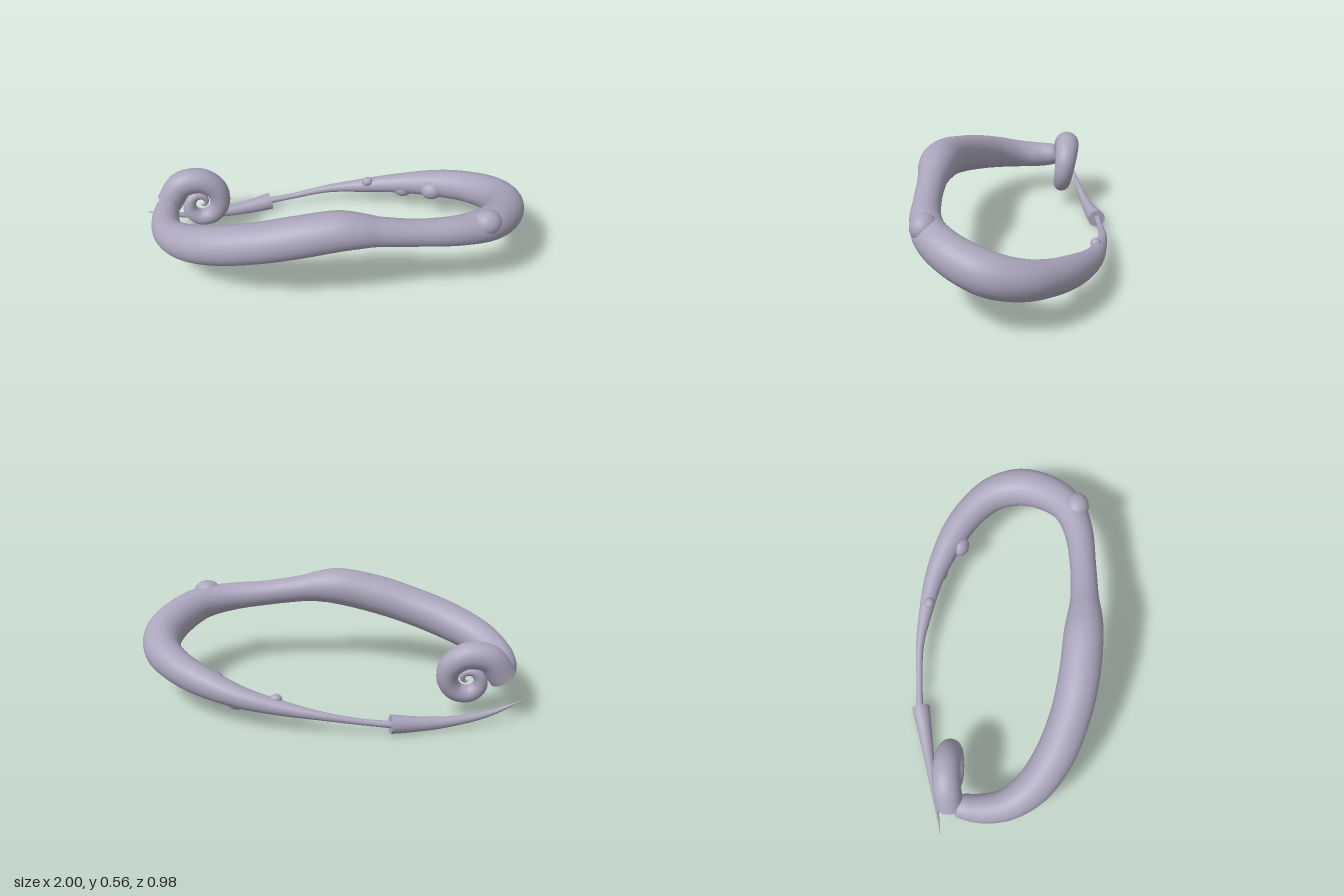
import * as THREE from 'three';

// Sweep a round section along rows of [x, y, z, radius], with closed ends.
function sweep(rows, steps, sides) {
  const path = new THREE.CatmullRomCurve3(rows.map(r => new THREE.Vector3(r[0], r[1], r[2])));
  const size = new THREE.SplineCurve(rows.map((r, i) => new THREE.Vector2(i, r[3])));
  const pos = [], index = [];
  const side = new THREE.Vector3(0.13, 1, 0.21), up = new THREE.Vector3();
  for (let i = 0; i <= steps; i++) {
    const t = i / steps;
    const c = path.getPoint(t), dir = path.getTangent(t), rad = Math.max(size.getPoint(t).y, 0.001);
    side.addScaledVector(dir, -side.dot(dir)).normalize();
    up.crossVectors(dir, side);
    for (let j = 0; j <= sides; j++) {
      const a = j / sides * Math.PI * 2;
      const p = c.clone().addScaledVector(side, Math.cos(a) * rad).addScaledVector(up, Math.sin(a) * rad);
      pos.push(p.x, p.y, p.z);
    }
  }
  const row = sides + 1;
  for (let i = 0; i < steps; i++) {
    for (let j = 0; j < sides; j++) {
      const a = i * row + j, b = a + row;
      index.push(a, a + 1, b, b, a + 1, b + 1);
    }
  }
  // flat caps with their own vertices
  for (const end of [0, 1]) {
    const first = end * steps * row, start = pos.length / 3, c = path.getPoint(end);
    for (let j = 0; j <= sides; j++) {
      const k = (first + j) * 3;
      pos.push(pos[k], pos[k + 1], pos[k + 2]);
    }
    pos.push(c.x, c.y, c.z);
    const mid = start + row;
    for (let j = 0; j < sides; j++) {
      if (end) index.push(mid, start + j, start + j + 1);
      else index.push(mid, start + j + 1, start + j);
    }
  }
  const g = new THREE.BufferGeometry();
  g.setAttribute('position', new THREE.Float32BufferAttribute(pos, 3));
  g.setIndex(index);
  g.computeVertexNormals();
  // even out the normals along the seam
  const n = g.attributes.normal;
  for (let i = 0; i <= steps; i++) {
    const a = i * row, b = a + sides;
    const v = new THREE.Vector3().fromBufferAttribute(n, a)
      .add(new THREE.Vector3().fromBufferAttribute(n, b)).normalize();
    n.setXYZ(a, v.x, v.y, v.z);
    n.setXYZ(b, v.x, v.y, v.z);
  }
  return g;
}

export function createModel() {
  const group = new THREE.Group();
  const skin = new THREE.MeshStandardMaterial({ color: 0xaaa5bb });
  skin.name = 'greyLilac';
  const add = (name, geometry) => {
    const mesh = new THREE.Mesh(geometry, skin);
    mesh.name = name;
    group.add(mesh);
    return mesh;
  };

  // long looping body, from the thin tail round to the thick neck
  add('body', sweep([
    [-0.34, 0.055, -0.438, 0.018],
    [-0.20, 0.07, -0.455, 0.016],
    [0, 0.10, -0.472, 0.022],
    [0.20, 0.125, -0.457, 0.038],
    [0.40, 0.155, -0.425, 0.055],
    [0.62, 0.20, -0.345, 0.076],
    [0.77, 0.235, -0.25, 0.085],
    [0.865, 0.265, -0.14, 0.094],
    [0.897, 0.30, 0, 0.101],
    [0.85, 0.345, 0.15, 0.097],
    [0.75, 0.385, 0.27, 0.088],
    [0.60, 0.405, 0.335, 0.076],
    [0.40, 0.425, 0.367, 0.068],
    [0.20, 0.453, 0.383, 0.073],
    [0.10, 0.467, 0.388, 0.088],
    [0, 0.47, 0.387, 0.1],
    [-0.20, 0.435, 0.38, 0.104],
    [-0.40, 0.385, 0.35, 0.102],
    [-0.60, 0.33, 0.285, 0.1],
    [-0.76, 0.28, 0.185, 0.092],
    [-0.85, 0.245, 0.06, 0.08],
    [-0.876, 0.235, -0.06, 0.072],
    [-0.874, 0.24, -0.14, 0.064],
    [-0.87, 0.245, -0.18, 0.052],
    [-0.87, 0.247, -0.205, 0.02],
  ], 200, 28));

  // curled end: a tapering spiral, slightly tilted
  const reach = [0.17, 0.152, 0.13, 0.113, 0.1, 0.093, 0.085, 0.073, 0.06, 0.05, 0.04, 0.032, 0.025, 0.017, 0.008];
  const thick = [0.07, 0.07, 0.067, 0.06, 0.053, 0.048, 0.044, 0.039, 0.033, 0.026, 0.02, 0.016, 0.012, 0.008, 0.003];
  add('spiralCurl', sweep(reach.map((r, i) => {
    const a = Math.PI - 0.1 - i * Math.PI / 4;
    const x = r * Math.cos(a), y = r * Math.sin(a);
    return [-0.7 + x, 0.218 + y, -0.222 - 0.07 * x - 0.14 * y, thick[i]];
  }), 110, 24));

  // sting at the tail tip
  add('sting', sweep([
    [-0.332, 0.055, -0.434, 0.047],
    [-0.45, 0.046, -0.402, 0.038],
    [-0.60, 0.045, -0.362, 0.027],
    [-0.80, 0.073, -0.308, 0.016],
    [-1, 0.145, -0.255, 0.001],
  ], 32, 24));

  // lumps along the body
  for (const [name, x, y, z, r] of [
    ['shoulderLump', 0.73, 0.434, 0.317, 0.065],
    ['tailLumpUpper', 0.225, 0.162, -0.44, 0.027],
    ['tailLumpLower', 0.425, 0.133, -0.408, 0.048],
    ['tailLumpInner', 0.57, 0.185, -0.305, 0.052],
  ]) {
    const lump = add(name, new THREE.SphereGeometry(r, 20, 14));
    lump.position.set(x, y, z);
    lump.scale.x = 1.15;
  }
  return group;
}
